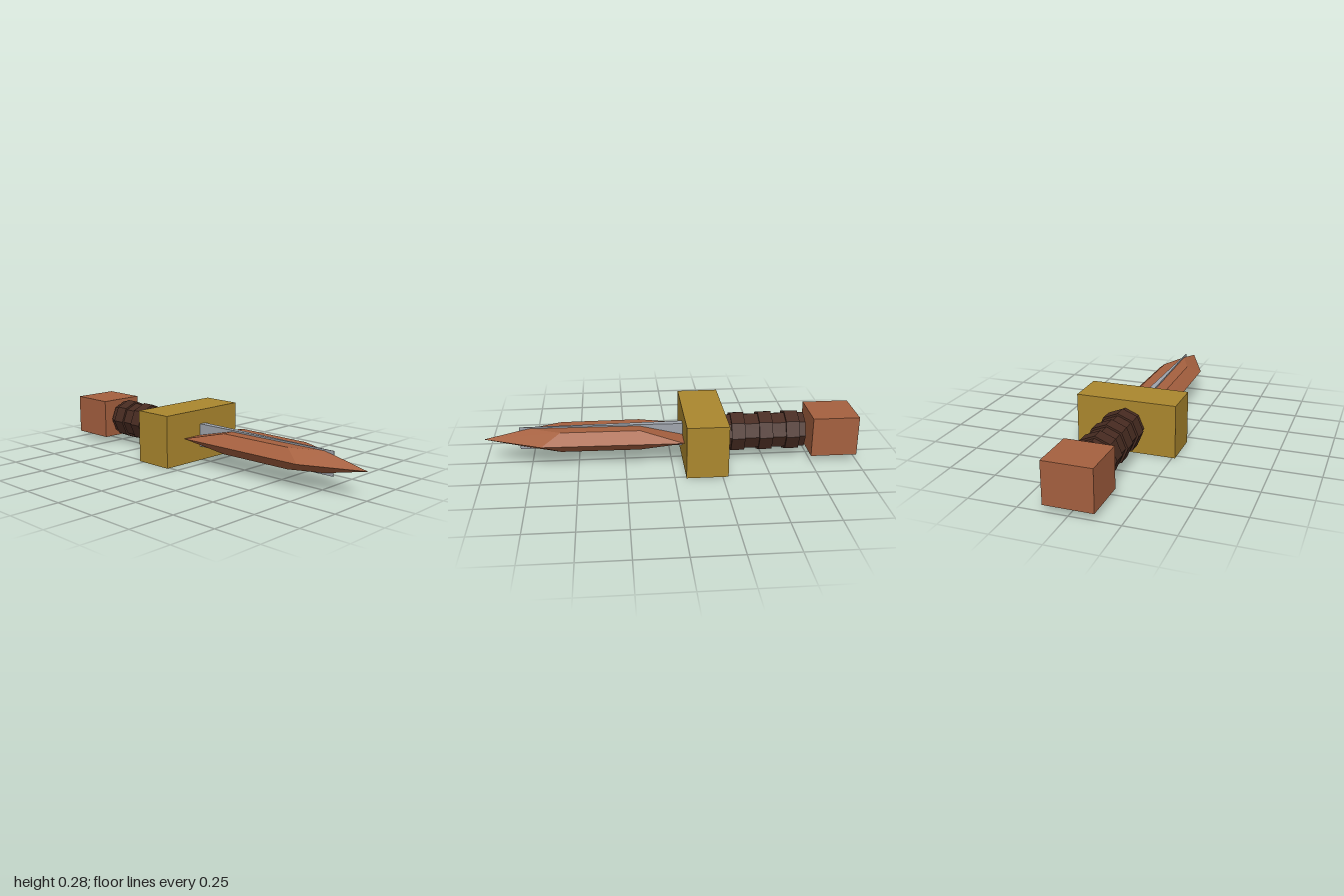
import * as THREE from 'three';

const material = (name, color) => {
  const m = new THREE.MeshStandardMaterial({ color, flatShading: true });
  m.name = name;
  return m;
};

// One quarter of the blade as outward-facing polygons, mirrored in x and y
function bladeGeometry() {
  const base = [0, 0, -0.06], corner = [0.14, 0, -0.06];
  const mid = [0, 0.055, 0.17], shoulder = [0.077, 0.055, 0.17];
  const bevel = [0.072, 0.055, 0.59], ridge = [0, 0.055, 0.76];
  const edge = [0.13, 0, 0.69], tip = [0, 0, 1];
  const faces = [
    [base, mid, shoulder, corner],
    [mid, ridge, bevel, shoulder],
    [shoulder, bevel, edge, corner],
    [bevel, ridge, tip, edge],
  ];
  const positions = [];
  for (const sx of [1, -1]) {
    for (const sy of [1, -1]) {
      for (const face of faces) {
        const f = sx * sy > 0 ? face : [...face].reverse();
        for (let i = 1; i < f.length - 1; i++) {
          for (const [x, y, z] of [f[0], f[i], f[i + 1]]) positions.push(x * sx, y * sy, z);
        }
      }
    }
  }
  const g = new THREE.BufferGeometry();
  g.setAttribute('position', new THREE.Float32BufferAttribute(positions, 3));
  g.computeVertexNormals();
  return g;
}

// Upright wedge that narrows to a thin edge towards the tip
function spineGeometry() {
  const s = new THREE.Shape();
  s.moveTo(-0.02, 0.06);
  s.lineTo(0.02, 0.06);
  s.lineTo(0.001, -0.81);
  s.lineTo(-0.001, -0.81);
  s.closePath();
  const g = new THREE.ExtrudeGeometry(s, { depth: 0.126, bevelEnabled: false });
  g.translate(0, 0, -0.063);
  g.rotateX(-Math.PI / 2);
  return g;
}

export function createModel() {
  const copper = material('copper', 0xa5603f);
  const gold = material('gold', 0xab872e);
  const leather = material('dark leather', 0x472b21);
  const steel = material('steel', 0xa0a5ad);

  const model = new THREE.Group();
  model.name = 'dagger';
  const add = (name, geometry, mat, z = 0) => {
    const mesh = new THREE.Mesh(geometry, mat);
    mesh.name = name;
    mesh.position.set(0, 0.141, z);
    model.add(mesh);
  };
  const rod = (radius, length) =>
    new THREE.CylinderGeometry(radius, radius, length, 8).rotateX(Math.PI / 2);

  // Blade and its central spine
  add('blade', bladeGeometry(), copper);
  add('bladeSpine', spineGeometry(), steel);

  // Cross guard
  add('guard', new THREE.BoxGeometry(0.53, 0.282, 0.22), gold, -0.17);

  // Octagonal grip with three raised bands
  add('grip', rod(0.099, 0.44), leather, -0.5);
  [-0.355, -0.505, -0.65].forEach((z, i) => add(`gripBand${i + 1}`, rod(0.11, 0.072), leather, z));

  // Pommel block, set just behind the grip
  add('pommel', new THREE.BoxGeometry(0.25, 0.216, 0.25), copper, -0.875);

  return model;
}
